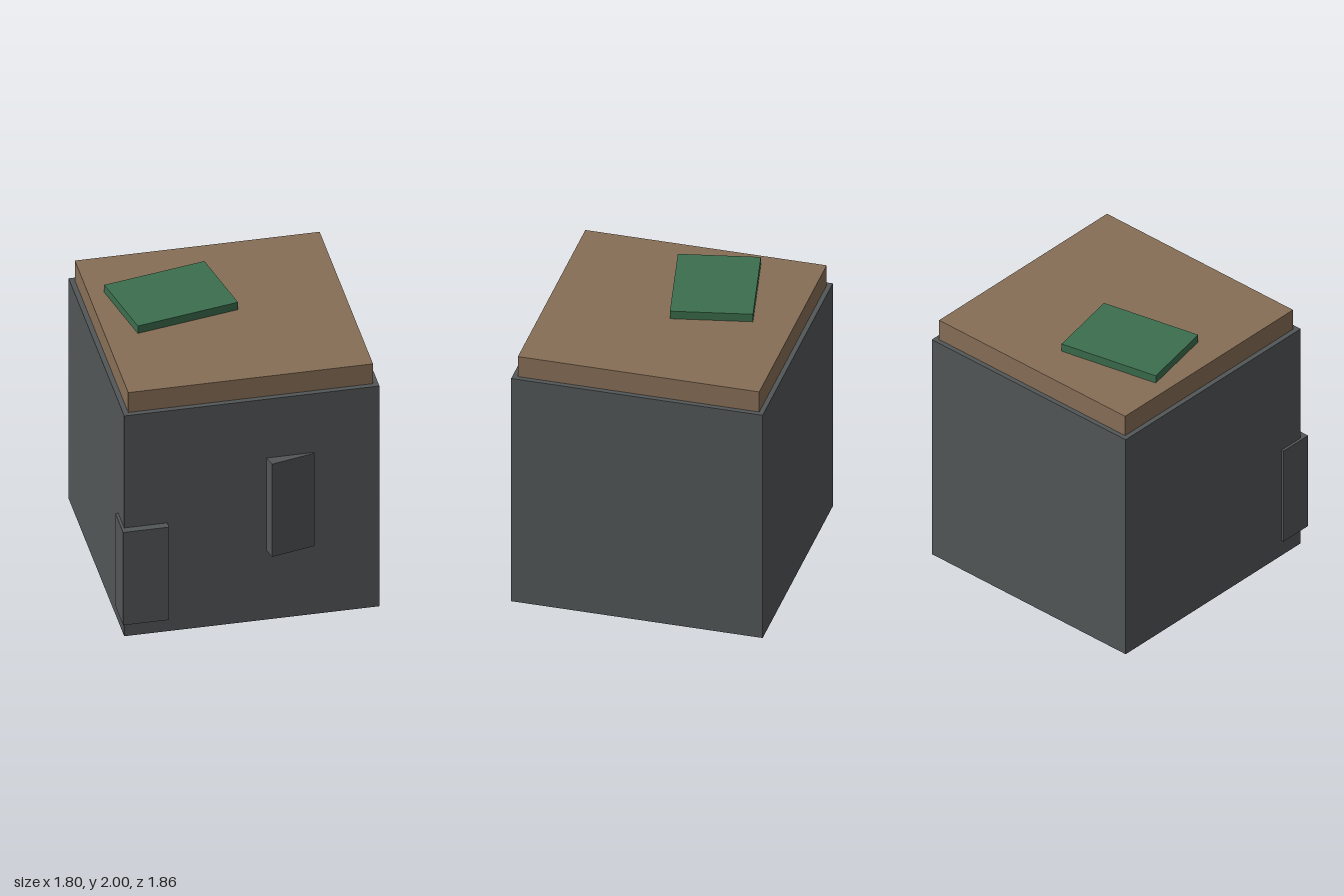
import * as THREE from 'three';

export function createModel() {
  const model = new THREE.Group();
  const grey = new THREE.MeshStandardMaterial({ color: 0x525657 });
  const brown = new THREE.MeshStandardMaterial({ color: 0x876e56 });
  const green = new THREE.MeshStandardMaterial({ color: 0x3c6e4e });

  // Box given by its size, centre and turn about the vertical axis
  function block(name, material, [w, h, d], [x, y, z], turn = 0) {
    const mesh = new THREE.Mesh(new THREE.BoxGeometry(w, h, d), material);
    mesh.name = name;
    mesh.position.set(x, y, z);
    mesh.rotation.y = turn;
    model.add(mesh);
  }

  // Main block and the slab of ground on top
  block('body', grey, [1.777, 1.78, 1.777], [0.007, 0.89, -0.043]);
  block('topSlab', brown, [1.705, 0.16, 1.705], [0.007, 1.86, -0.045]);

  // Turned patch lying on the slab
  block('greenPatch', green, [0.745, 0.06, 0.567], [-0.314, 1.97, -0.26], 0.2);

  // Blocks half sunk into the front face
  block('cornerBlock', grey, [0.32, 0.75, 0.25], [-0.741, 0.5, 0.775]);
  block('turnedBlock', grey, [0.32, 0.75, 0.25], [0.257, 0.93, 0.771], 0.235);

  return model;
}
